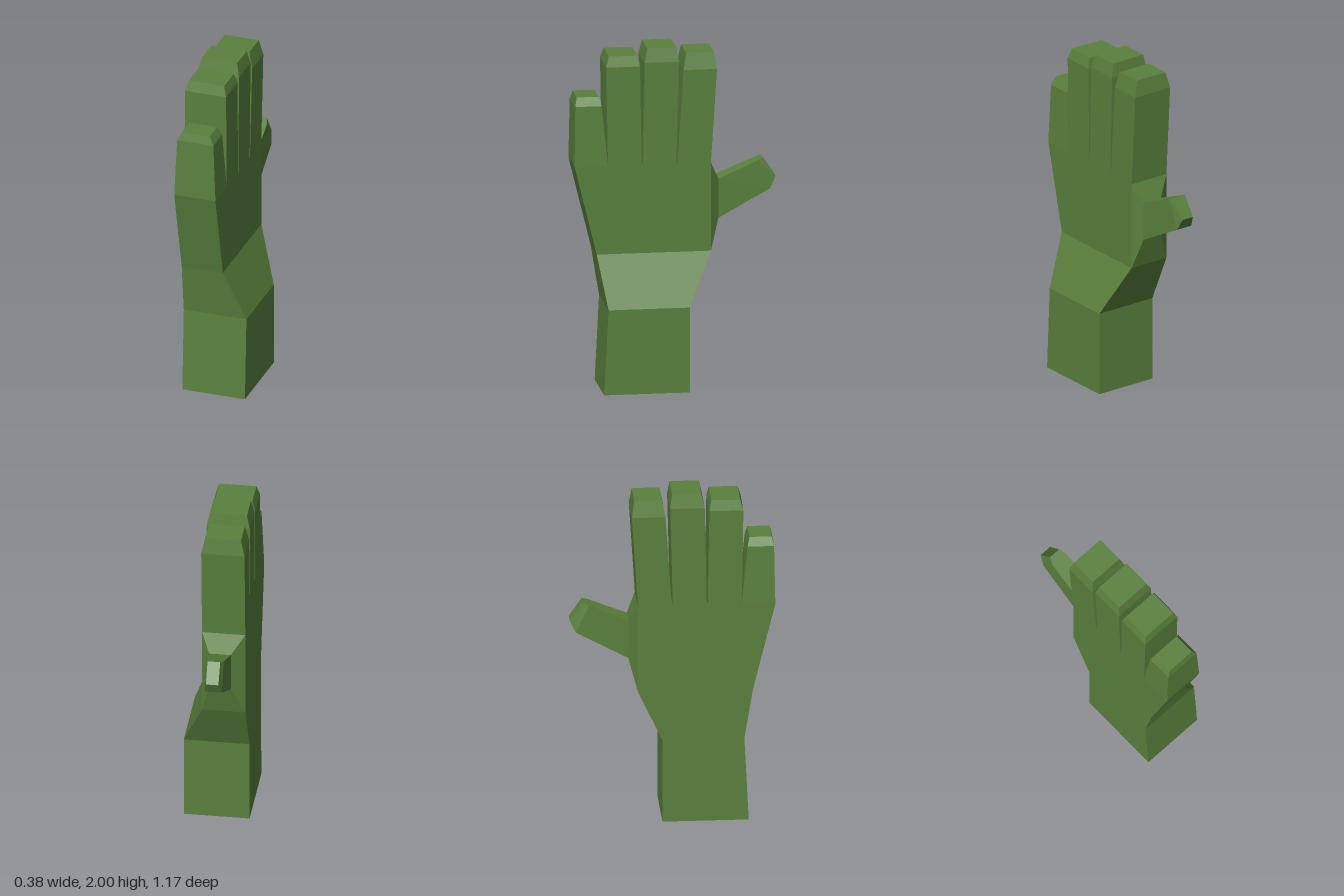
import * as THREE from 'three';

// Faceted skin through four-cornered sections, each counter-clockwise seen from the far end
function loft(sections, capStart) {
  const pos = [];
  const quad = (a, b, c, d) => pos.push(...a, ...b, ...c, ...a, ...c, ...d);
  for (let s = 0; s < sections.length - 1; s++) {
    const p = sections[s], q = sections[s + 1];
    for (let i = 0; i < 4; i++) {
      const j = (i + 1) % 4;
      quad(p[i], p[j], q[j], q[i]);
    }
  }
  quad(...sections[sections.length - 1]);
  if (capStart) quad(...[...sections[0]].reverse());
  const geo = new THREE.BufferGeometry();
  geo.setAttribute('position', new THREE.Float32BufferAttribute(pos, 3));
  geo.computeVertexNormals();
  return geo;
}

// Horizontal section
const level = (y, x0, x1, z0, z1) => [[x0, y, z1], [x1, y, z1], [x1, y, z0], [x0, y, z0]];

// Section facing -z: low edge and high edge, each [y, z, x0, x1]
const slice = (lo, hi) => [
  [lo[3], lo[0], lo[1]], [lo[2], lo[0], lo[1]],
  [hi[2], hi[0], hi[1]], [hi[3], hi[0], hi[1]],
];

export function createModel() {
  const group = new THREE.Group();
  const green = new THREE.MeshStandardMaterial({ color: 0x5a813d });
  green.name = 'green';
  green.flatShading = true;
  const add = (name, geo) => {
    const mesh = new THREE.Mesh(geo, green);
    mesh.name = name;
    group.add(mesh);
  };

  const X0 = -0.185, X1 = 0.065, knuckle = 1.32;

  // Wrist and palm
  add('palm', loft([
    level(0, -0.19, 0.19, -0.06, 0.435),
    level(0.5, -0.19, 0.19, -0.06, 0.41),
    level(0.8, X0, X1, -0.2, 0.46),
    level(knuckle, X0, X1, -0.2, 0.588),
  ], true));

  // Fingers: base z range, shoulder [y, z0, z1, x inset], tip [y, z0, z1, x inset]
  const fingers = [
    ['littleFinger', [0.395, 0.588], [1.67, 0.43, 0.582], [1.72, 0.442, 0.57], 0.015, 0.04],
    ['ringFinger', [0.2, 0.395], [1.9, 0.21, 0.405], [1.96, 0.222, 0.388], 0, 0.018],
    ['middleFinger', [0, 0.195], [1.92, -0.015, 0.183], [2, -0.003, 0.165], 0, 0.018],
    ['indexFinger', [-0.2, -0.005], [1.87, -0.235, -0.042], [1.965, -0.22, -0.06], 0, 0.022],
  ];
  for (const [name, base, shoulder, tip, inset, tipInset] of fingers) {
    add(name, loft([
      level(knuckle, X0, X1, ...base),
      level(shoulder[0], X0 + inset, X1 - inset, shoulder[1], shoulder[2]),
      level(tip[0], X0 + tipInset, X1 - tipInset, tip[1], tip[2]),
    ]));
  }

  // Thumb with its tapered root
  add('thumb', loft([
    slice([0.8, -0.2, X0, X1], [knuckle, -0.2, X0, X1]),
    slice([0.98, -0.25, -0.108, 0.017], [1.21, -0.25, -0.108, 0.017]),
    slice([1.14, -0.55, -0.098, 0.004], [1.305, -0.475, -0.098, 0.004]),
    slice([1.21, -0.585, -0.083, -0.01], [1.32, -0.51, -0.083, -0.01]),
  ]));

  return group;
}
